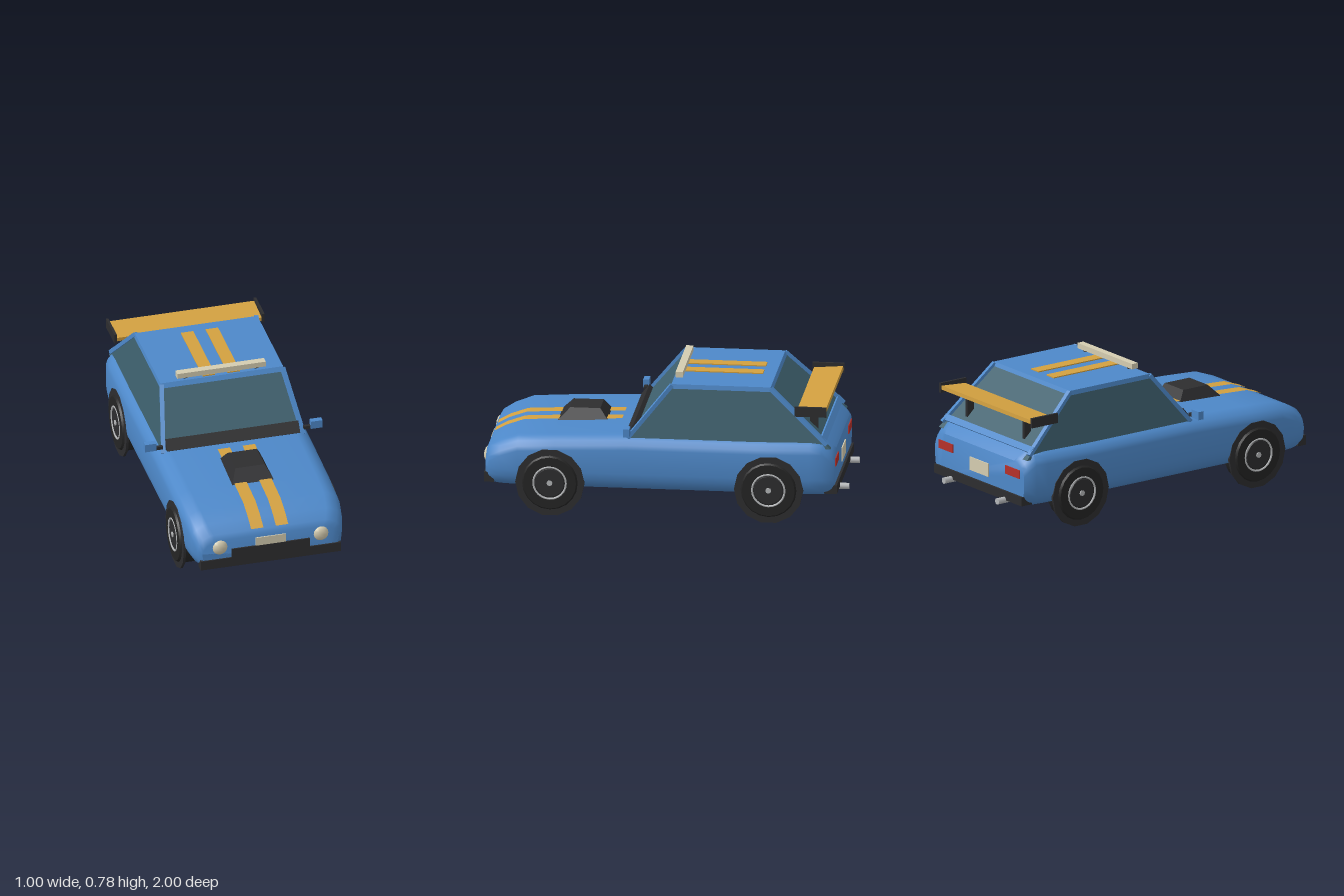
import * as THREE from 'three';
import { toCreasedNormals } from 'three/addons/utils/BufferGeometryUtils.js';

const mat = (name, color, side = THREE.FrontSide) => {
  const m = new THREE.MeshStandardMaterial({ color, side });
  m.name = name;
  return m;
};

// Body stations from nose to tail: z, half width, floor, deck height
const STATIONS = [
  [0.98, 0.385, 0.175, 0.335], [0.962, 0.405, 0.165, 0.365], [0.9, 0.425, 0.16, 0.4],
  [0.8, 0.438, 0.16, 0.436], [0.6, 0.442, 0.16, 0.447], [0.2, 0.442, 0.16, 0.462],
  [-0.5, 0.442, 0.16, 0.462], [-0.8, 0.44, 0.16, 0.468], [-0.87, 0.43, 0.16, 0.468],
  [-0.92, 0.415, 0.165, 0.425], [-0.937, 0.405, 0.17, 0.405],
];

// Deck height at any z
function deckAt(z) {
  for (let i = 1; i < STATIONS.length; i++) {
    const a = STATIONS[i - 1], b = STATIONS[i];
    if (z >= b[0]) return a[3] + (b[3] - a[3]) * (a[0] - z) / (a[0] - b[0]);
  }
  return 0.4;
}

// Rounded cross-section, counter-clockwise seen from the front
function section([z, w, lo, hi]) {
  const half = [
    [w - 0.045, lo], [w - 0.02, lo + 0.02], [w - 0.004, lo + 0.055], [w, lo + 0.09],
    [w, hi - 0.075], [w - 0.008, hi - 0.05], [w - 0.028, hi - 0.025], [w - 0.065, hi - 0.004], [w - 0.09, hi],
  ];
  return [...half, ...half.slice().reverse().map(([x, y]) => [-x, y])].map(([x, y]) => [x, y, z]);
}

function bodyGeometry() {
  const rings = STATIONS.map(section), n = rings[0].length, pos = rings.flat(2), idx = [];
  const last = (rings.length - 1) * n;
  for (let i = 0; i < rings.length - 1; i++) {
    for (let j = 0; j < n; j++) {
      const a = i * n + j, b = i * n + (j + 1) % n;
      idx.push(a, a + n, b, b, a + n, b + n);
    }
  }
  for (let j = 1; j < n - 1; j++) idx.push(0, j, j + 1, last, last + j + 1, last + j);
  const g = new THREE.BufferGeometry();
  g.setAttribute('position', new THREE.Float32BufferAttribute(pos, 3));
  g.setIndex(idx);
  return toCreasedNormals(g, 0.7);
}

// Box whose bottom and top have their own half width and z range
function taper(y0, [w0, front0, back0], y1, [w1, front1, back1]) {
  const g = new THREE.BoxGeometry(2, 2, 2), p = g.attributes.position;
  for (let i = 0; i < p.count; i++) {
    const top = p.getY(i) > 0, front = p.getZ(i) > 0;
    p.setXYZ(i, Math.sign(p.getX(i)) * (top ? w1 : w0), top ? y1 : y0,
      top ? (front ? front1 : back1) : (front ? front0 : back0));
  }
  const flat = g.toNonIndexed();
  flat.computeVertexNormals();
  return flat;
}

export function createModel() {
  const car = new THREE.Group();
  car.name = 'car';
  const blue = mat('blue paint', 0x4d88c9), glass = mat('tinted glass', 0x3d5f6d);
  const gold = mat('gold paint', 0xd2a040), black = mat('black trim', 0x2d2d2f);
  const rubber = mat('tyre rubber', 0x242424), cream = mat('cream', 0xd4ccb0);
  const chrome = mat('chrome', 0xb4b6b8), red = mat('tail light red', 0xb5302a);

  const add = (name, geo, m, x = 0, y = 0, z = 0, parent = car) => {
    const mesh = new THREE.Mesh(geo, m);
    mesh.name = name;
    mesh.position.set(x, y, z);
    parent.add(mesh);
    return mesh;
  };
  const box = (name, m, w, h, d, x, y, z, parent) => add(name, new THREE.BoxGeometry(w, h, d), m, x, y, z, parent);
  // Square bar between two points
  const bar = (name, m, a, b, w, h) => {
    const p = new THREE.Vector3(...a), q = new THREE.Vector3(...b);
    const mesh = box(name, m, w, h, p.distanceTo(q), 0, 0, 0);
    mesh.position.copy(p).lerp(q, 0.5);
    mesh.lookAt(q);
  };

  // Shell and cabin
  add('body', bodyGeometry(), blue);
  add('windows', taper(0.42, [0.402, 0.215, -0.915], 0.735, [0.342, -0.042, -0.578]), glass);
  add('roof', taper(0.72, [0.35, -0.026, -0.592], 0.745, [0.346, -0.04, -0.58]), blue);
  bar('cowl', black, [0, 0.455, 0.2], [0, 0.508, 0.157], 0.75, 0.03);
  bar('rearWindowSill', blue, [0, 0.455, -0.885], [0, 0.482, -0.86], 0.8, 0.02);
  for (const s of [-1, 1]) {
    bar('frontPillar', blue, [s * 0.395, 0.445, 0.2], [s * 0.341, 0.738, -0.038], 0.024, 0.022);
    bar('rearPillar', blue, [s * 0.395, 0.445, -0.895], [s * 0.341, 0.738, -0.58], 0.024, 0.022);
  }

  // Hood scoop
  add('hoodScoop', taper(0.44, [0.12, 0.62, 0.33], 0.512, [0.083, 0.55, 0.385]), black);

  // Racing stripes
  for (const s of [-1, 1]) {
    const strip = new THREE.PlaneGeometry(0.07, 0.7, 1, 35).rotateX(-Math.PI / 2).translate(0, 0, 0.612);
    const p = strip.attributes.position;
    for (let i = 0; i < p.count; i++) p.setY(i, deckAt(p.getZ(i)) + 0.006);
    strip.computeVertexNormals();
    add('hoodStripe', strip, gold, s * 0.07);
    box('roofStripe', gold, 0.07, 0.008, 0.46, s * 0.07, 0.747, -0.28);
  }

  // Roof light bar
  box('lightBar', cream, 0.5, 0.03, 0.04, 0, 0.77, -0.067);
  for (const s of [-1, 1]) box('lightBarFoot', black, 0.02, 0.02, 0.02, s * 0.2, 0.75, -0.067);

  // Rear wing
  const wing = box('wing', gold, 0.82, 0.022, 0.16, 0, 0.63, -0.81);
  wing.rotation.x = 0.08;
  for (const s of [-1, 1]) {
    box('wingEndPlate', black, 0.014, 0.055, 0.175, s * 0.417, 0.635, -0.808);
    box('wingStrut', black, 0.02, 0.18, 0.045, s * 0.26, 0.535, -0.81);
  }

  // Bumpers and plates
  box('frontBumper', black, 0.79, 0.055, 0.055, 0, 0.195, 0.96);
  box('frontBumperCentre', black, 0.44, 0.06, 0.03, 0, 0.246, 0.9725);
  box('frontPlate', cream, 0.17, 0.055, 0.008, 0, 0.298, 0.982);
  box('rearBumper', black, 0.8, 0.05, 0.07, 0, 0.192, -0.915);
  box('rearPlate', cream, 0.17, 0.075, 0.008, 0, 0.295, -0.939);

  for (const s of [-1, 1]) {
    // Lights
    const lamp = add('headlight', new THREE.SphereGeometry(0.046, 10, 8), cream, s * 0.285, 0.293, 0.972);
    lamp.scale.z = 0.6;
    box('tailLight', red, 0.13, 0.048, 0.008, s * 0.305, 0.338, -0.938);
    // Exhausts
    add('exhaust', new THREE.CylinderGeometry(0.018, 0.018, 0.1, 10).rotateX(Math.PI / 2), chrome, s * 0.243, 0.167, -0.95);
    // Mirrors
    box('mirrorArm', black, 0.04, 0.018, 0.018, s * 0.418, 0.486, 0.195);
    box('mirror', blue, 0.065, 0.046, 0.032, s * 0.468, 0.501, 0.195);
  }

  // Wheels, axle along x with the outer face towards +x before mirroring
  const tyreProfile = [[0.001, -0.06], [0.14, -0.06], [0.16, -0.045], [0.16, 0.035], [0.145, 0.055], [0.095, 0.055], [0.09, 0.048], [0.001, 0.048]]
    .map(([r, y]) => new THREE.Vector2(r, y));
  const toAxle = (g) => g.rotateZ(-Math.PI / 2);
  const tyre = toCreasedNormals(toAxle(new THREE.LatheGeometry(tyreProfile, 20)), 0.5);
  const flare = toAxle(new THREE.CylinderGeometry(0.19, 0.19, 0.014, 14));
  const rim = new THREE.TorusGeometry(0.09, 0.006, 6, 24).rotateY(Math.PI / 2);
  const hub = toAxle(new THREE.CylinderGeometry(0.078, 0.082, 0.008, 16));
  const cap = toAxle(new THREE.CylinderGeometry(0.016, 0.016, 0.012, 8));
  for (const s of [-1, 1]) {
    for (const z of [0.62, -0.58]) {
      const wheel = new THREE.Group();
      wheel.name = z > 0 ? 'frontWheel' : 'rearWheel';
      wheel.position.set(s * 0.4, 0.19, z);
      wheel.rotation.y = s > 0 ? 0 : Math.PI;
      car.add(wheel);
      add('tyre', tyre, rubber, 0, 0, 0, wheel);
      add('wheelFlare', flare, black, 0.037, 0, 0, wheel);
      add('rimRing', rim, chrome, 0.053, 0, 0, wheel);
      add('hub', hub, black, 0.05, 0, 0, wheel);
      add('hubCap', cap, chrome, 0.054, 0, 0, wheel);
    }
  }
  return car;
}
